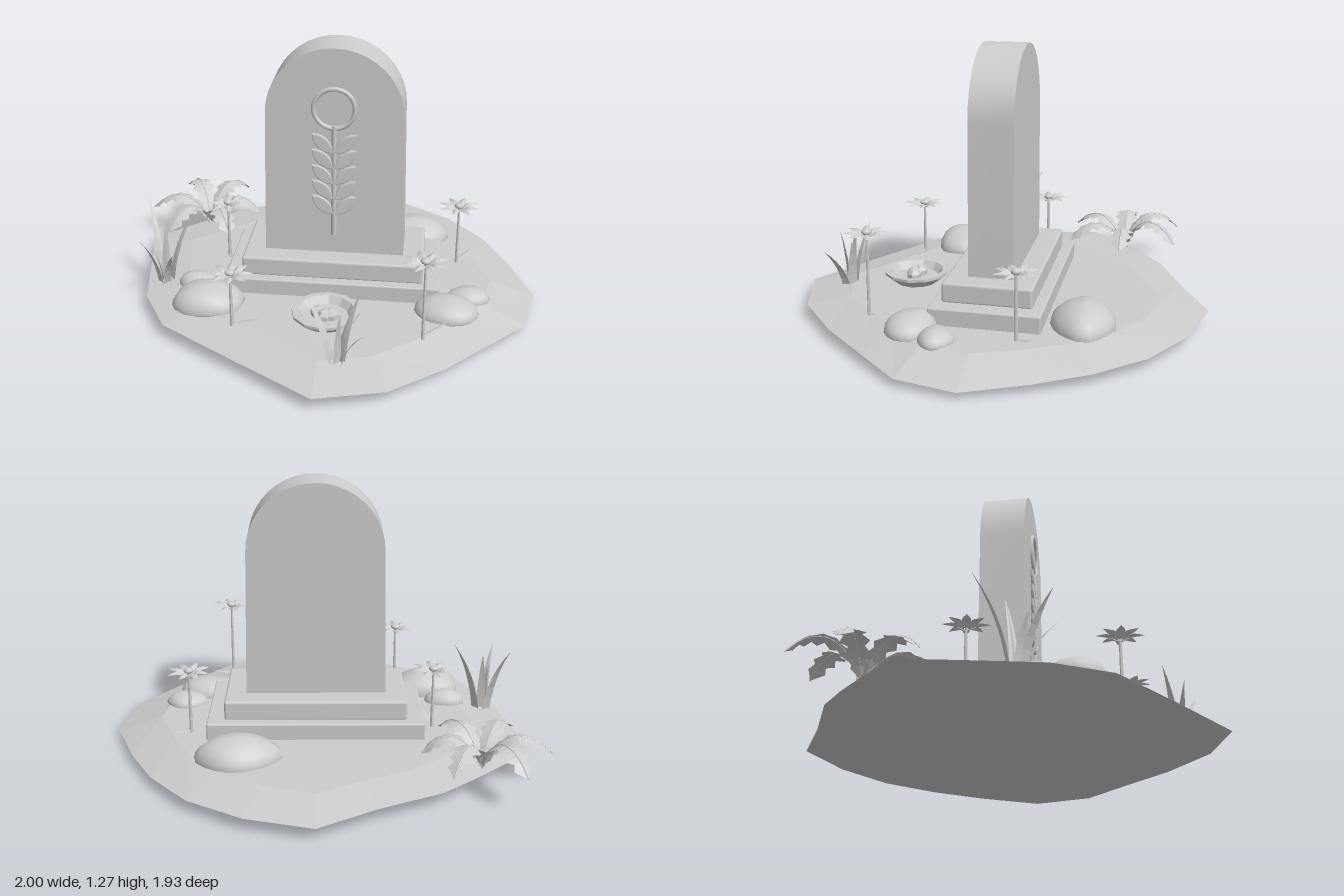
import * as THREE from 'three';
import { toCreasedNormals } from 'three/addons/utils/BufferGeometryUtils.js';
import { RoundedBoxGeometry } from 'three/addons/geometries/RoundedBoxGeometry.js';

const make = (name, extra = {}) => {
  const m = new THREE.MeshStandardMaterial({ color: 0xcccccc, ...extra });
  m.name = name;
  return m;
};
const stone = make('grey stone');
const facet = make('grey stone', { flatShading: true });
const leaf = make('grey stone', { flatShading: true, side: THREE.DoubleSide });

function add(parent, name, geo, mat, x = 0, y = 0, z = 0) {
  const mesh = new THREE.Mesh(geo, mat);
  mesh.name = name;
  mesh.position.set(x, y, z);
  parent.add(mesh);
  return mesh;
}

// Builds a surface through equal-length cross-section rows
function loft(rows, closed) {
  const n = rows[0].length, pos = rows.flat(2), idx = [];
  for (let r = 0; r < rows.length - 1; r++) {
    for (let i = 0; i < (closed ? n : n - 1); i++) {
      const a = r * n + i, b = r * n + (i + 1) % n;
      idx.push(a, b, a + n, b, b + n, a + n);
    }
  }
  const g = new THREE.BufferGeometry();
  g.setAttribute('position', new THREE.Float32BufferAttribute(pos, 3));
  g.setIndex(idx);
  g.computeVertexNormals();
  return g;
}

// Tapered strip along a curve, creased down the middle
function ribbon(curve, steps, halfWidth, fold, side) {
  const rows = [];
  for (let i = 0; i <= steps; i++) {
    const t = i / steps, p = curve.getPoint(t), w = halfWidth(t, i);
    rows.push([-1, 0, 1].map(s => [
      p.x + side.x * w * s, p.y - Math.abs(s) * w * fold, p.z + side.z * w * s]));
  }
  return loft(rows, false);
}

const V = (x, y, z) => new THREE.Vector3(x, y, z);

// Irregular shallow mound, rows from the top centre over the rim to the underside
function ground() {
  const rim = [[0.04, 0.06, -0.965], [0.34, 0.06, -0.885], [0.59, 0.055, -0.73], [0.77, 0.05, -0.52],
    [0.89, 0.04, -0.29], [1.0, 0.03, -0.01], [0.945, 0.035, 0.27], [0.78, 0.045, 0.46], [0.58, 0.05, 0.68],
    [0.345, 0.06, 0.88], [0.04, 0.062, 0.965], [-0.34, 0.065, 0.73], [-0.7, 0.065, 0.5], [-0.84, 0.065, 0.26],
    [-0.9, 0.068, -0.05], [-0.95, 0.07, -0.32], [-0.64, 0.075, -0.6], [-0.5, 0.075, -0.71], [-0.22, 0.07, -0.83]];
  const ring = (s, y) => rim.map(p => [0.03 + (p[0] - 0.03) * s, y, p[2] * s]);
  return loft([ring(0, 0.104), ring(0.78, 0.1), rim, ring(0.45, 0.01), ring(0, 0)], true);
}

// Arched slab with slightly tapering sides
function slab() {
  const s = new THREE.Shape();
  s.moveTo(-0.327, 0.26);
  s.lineTo(0.327, 0.26);
  for (let i = 0; i <= 20; i++) {
    const a = i / 20 * Math.PI;
    s.lineTo(Math.cos(a) * 0.315, 0.96 + Math.sin(a) * 0.315);
  }
  const g = new THREE.ExtrudeGeometry(s, { depth: 0.205, bevelEnabled: false });
  return toCreasedNormals(g, 0.6);
}

// Raised ring, stem and paired leaves on the slab face
function emblem(root) {
  const g = new THREE.Group();
  g.name = 'carvedPlant';
  g.position.set(0.04, 0, 0.098);
  root.add(g);
  add(g, 'carvedRing', new THREE.TorusGeometry(0.094, 0.011, 8, 32), stone, 0, 0.995, 0);
  add(g, 'carvedStem', new THREE.CylinderGeometry(0.012, 0.013, 0.55, 8), stone, 0, 0.64, 0);
  const s = new THREE.Shape();
  s.moveTo(0, 0);
  s.bezierCurveTo(0.04, 0, 0.085, 0.03, 0.088, 0.085);
  s.bezierCurveTo(0.045, 0.085, 0.005, 0.05, 0, 0);
  for (let i = 0; i < 5; i++) {
    for (const side of [-1, 1]) {
      const geo = new THREE.ExtrudeGeometry(s, {
        depth: 0.006, bevelThickness: 0.005, bevelSize: 0.006, bevelSegments: 2, curveSegments: 6 });
      const m = add(g, 'carvedLeaf', geo, stone, side * 0.008, 0.785 - i * 0.077, 0);
      if (side < 0) { m.rotation.y = Math.PI; m.position.z = 0.006; }
    }
  }
}

// Lumpy stone with a flattened underside
function rock(root, x, z, rx, h, rz, seed) {
  const g = new THREE.SphereGeometry(1, 18, 12), p = g.attributes.position;
  for (let i = 0; i < p.count; i++) {
    const v = V().fromBufferAttribute(p, i);
    const k = 1 + 0.03 * Math.sin(3 * v.x + seed) + 0.03 * Math.sin(4 * v.z + 2 * seed) + 0.03 * Math.cos(5 * v.x * v.z + seed);
    p.setXYZ(i, v.x * k * rx, v.y * k * (v.y < 0 ? 0.02 : h), v.z * k * rz);
  }
  g.computeVertexNormals();
  add(root, 'rock', g, stone, x, 0.1, z);
}

// Dish with small fruit inside
function offeringBowl(root) {
  const profile = [[0, 0.0], [0.1, 0.0], [0.155, 0.045], [0.155, 0.058], [0.13, 0.058], [0.105, 0.025], [0, 0.022]];
  const g = new THREE.LatheGeometry(profile.map(p => new THREE.Vector2(...p)), 12);
  add(root, 'bowl', g, facet, 0.04, 0.1, 0.435);
  for (const [x, z] of [[0.005, 0.425], [0.065, 0.44], [0.035, 0.45]]) {
    add(root, 'fruit', new THREE.SphereGeometry(0.036, 6, 5), facet, x, 0.133, z);
  }
}

function flower(root, x, y, z, turn, leafTurn) {
  const g = new THREE.Group();
  g.name = 'flower';
  g.position.set(x, 0, z);
  root.add(g);
  add(g, 'stem', new THREE.CylinderGeometry(0.006, 0.009, y - 0.1, 6), facet, 0, (y + 0.1) / 2 - 0.005, 0);
  const path = new THREE.CatmullRomCurve3([V(0.01, -0.018, 0), V(0.05, 0.008, 0), V(0.102, 0, 0)]);
  const shape = t => 0.019 * Math.sin(Math.PI * Math.min(1, 0.12 + t * 0.88)) + 0.001;
  for (let i = 0; i < 8; i++) {
    const m = add(g, 'petal', ribbon(path, 5, shape, 0.5, V(0, 0, 1)), leaf, 0, y - 0.005, 0);
    m.rotation.y = turn + i * Math.PI / 4;
  }
  const eye = add(g, 'flowerCentre', new THREE.SphereGeometry(0.024, 10, 6), stone, 0, y - 0.002, 0);
  eye.scale.y = 0.6;
  // Low leaf at the foot of the stem
  const low = new THREE.CatmullRomCurve3([V(0, 0.11, 0), V(0.06, 0.125, 0), V(0.13, 0.15, 0)]);
  add(g, 'footLeaf', ribbon(low, 5, t => 0.013 * Math.sin(Math.PI * (0.1 + t * 0.9)), 0.3, V(0, 0, 1)), leaf)
    .rotation.y = leafTurn;
}

// Six arching fronds with toothed edges
function fern(root, x, z) {
  const g = new THREE.Group();
  g.name = 'fern';
  g.position.set(x, 0, z);
  root.add(g);
  const path = new THREE.CatmullRomCurve3([V(0, 0.09, 0), V(0.06, 0.18, 0), V(0.15, 0.235, 0), V(0.24, 0.215, 0), V(0.31, 0.155, 0)]);
  const width = (t, i) => i === 14 ? 0.001 : (0.012 + 0.052 * Math.sin(Math.PI * Math.min(1, t * 0.85 + 0.05))) * (i % 2 ? 0.58 : 1);
  for (let i = 0; i < 6; i++) {
    const m = add(g, 'frond', ribbon(path, 14, width, 0.25, V(0, 0, 1)), leaf);
    m.rotation.y = i * Math.PI / 3;
    m.scale.set(i === 0 ? 0.86 : 1, i === 1 || i === 2 ? 1.1 : 1, 1);
    add(m, 'frondRib', new THREE.TubeGeometry(path, 12, 0.004, 5), facet);
  }
}

// Curved blades given as tip offsets: dx, height, dz
function grass(root, x, z, tips) {
  const g = new THREE.Group();
  g.name = 'grassTuft';
  g.position.set(x, 0.09, z);
  root.add(g);
  for (const [dx, h, dz] of tips) {
    const len = Math.hypot(dx, dz);
    const path = new THREE.QuadraticBezierCurve3(V(dx * 0.2, 0, dz * 0.2), V(dx * 0.35, h * 0.55, dz * 0.35), V(dx, h, dz));
    const side = V(-dz / len, 0, dx / len).lerp(V(1, 0, 0), 0.3).normalize();
    add(g, 'grassBlade', ribbon(path, 6, t => 0.021 * (1 - t * t) + 0.0005, 0.25, side), leaf);
  }
}

export function createModel() {
  const root = new THREE.Group();
  root.name = 'memorialStone';

  add(root, 'ground', ground(), facet);
  add(root, 'lowerPlinth', new RoundedBoxGeometry(1.01, 0.1, 0.505, 2, 0.008), stone, 0.04, 0.13, -0.013);
  add(root, 'upperPlinth', new RoundedBoxGeometry(0.85, 0.095, 0.41, 2, 0.012), stone, 0.04, 0.222, -0.01);
  add(root, 'headstone', slab(), stone, 0.04, 0, -0.11);
  emblem(root);
  offeringBowl(root);

  rock(root, 0.385, -0.43, 0.195, 0.1, 0.145, 1);
  rock(root, -0.52, 0.335, 0.175, 0.1, 0.125, 2.3);
  rock(root, -0.6, 0.17, 0.095, 0.06, 0.07, 4);
  rock(root, 0.58, 0.3, 0.145, 0.075, 0.11, 5.2);
  rock(root, 0.68, 0.16, 0.1, 0.05, 0.08, 0.4);

  flower(root, -0.51, 0.4, -0.12, 0.2, -1.2);
  flower(root, 0.625, 0.415, -0.175, 0.5, 0.8);
  flower(root, -0.375, 0.37, 0.51, 0.1, -0.1);
  flower(root, 0.48, 0.49, 0.525, 0.35, 0.6);

  fern(root, -0.69, -0.5);
  grass(root, -0.78, 0.13, [[-0.1, 0.35, -0.16], [0.15, 0.35, -0.07], [-0.07, 0.28, 0.15],
    [0.09, 0.22, 0.17], [0.01, 0.29, -0.05], [-0.04, 0.2, 0.05]]);
  grass(root, 0.12, 0.74, [[-0.13, 0.28, -0.06], [0.1, 0.32, -0.07], [0.12, 0.2, 0.09],
    [-0.1, 0.18, 0.03], [0.02, 0.27, 0.04], [0.06, 0.23, -0.03]]);
  return root;
}
